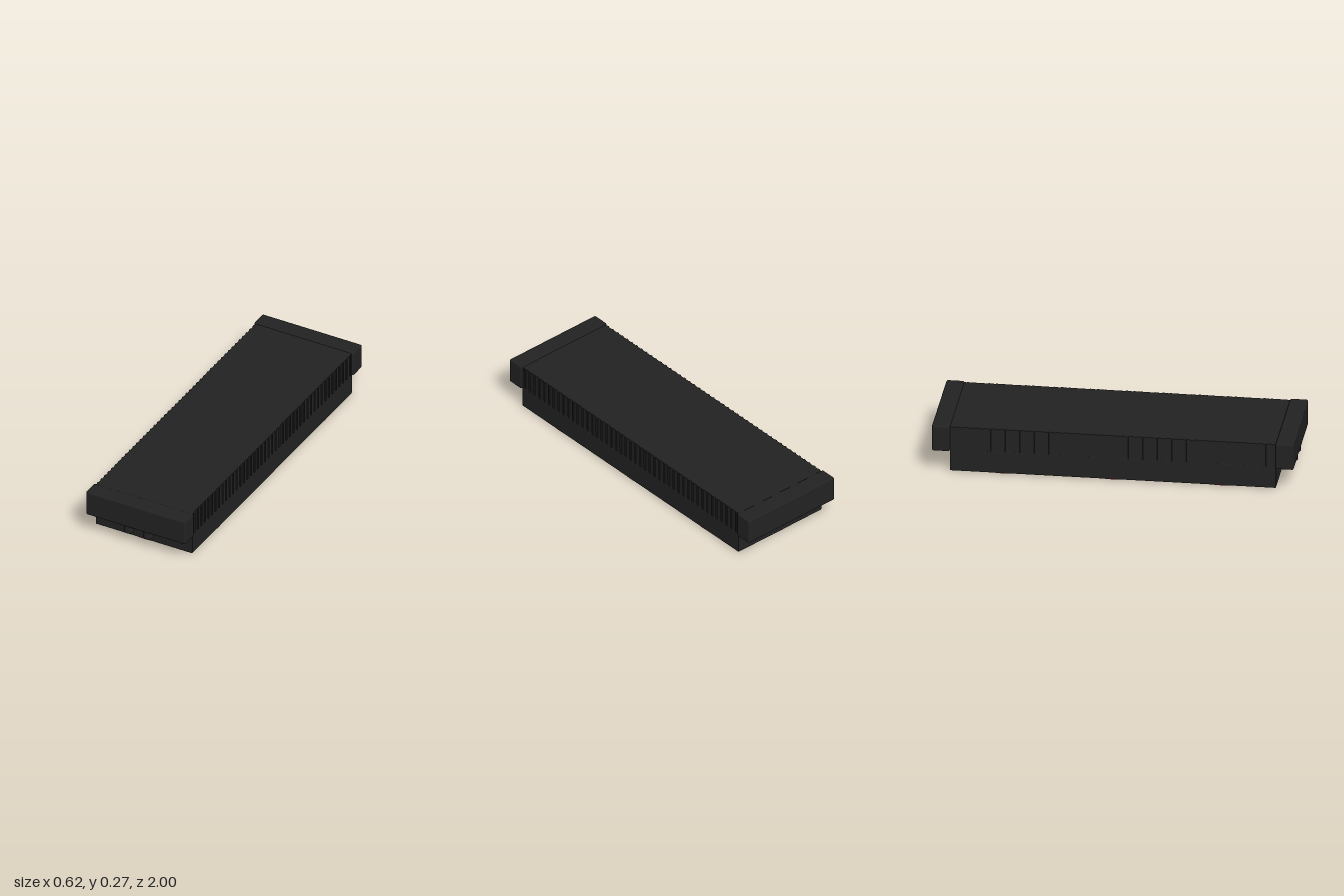
import * as THREE from 'three';
import { RoundedBoxGeometry } from 'three/addons/geometries/RoundedBoxGeometry.js';

const material = (name, color) => new THREE.MeshStandardMaterial({ name, color });

export function createModel() {
  const black = material('radiator black', 0x222222);
  const dark = material('fan dark grey', 0x1c1c1c);
  const red = material('ring red', 0xd01a24);
  const model = new THREE.Group();
  model.name = 'radiatorWithFans';

  const add = (parent, name, geometry, mat, x = 0, y = 0, z = 0) => {
    const mesh = new THREE.Mesh(geometry, mat);
    mesh.name = name;
    mesh.position.set(x, y, z);
    parent.add(mesh);
    return mesh;
  };

  // Radiator core with thin fins standing proud of its long sides
  add(model, 'core', new THREE.BoxGeometry(0.6, 0.135, 1.8), black, 0, 0.1975, 0);
  const finGeometry = new THREE.BoxGeometry(0.61, 0.134, 0.012);
  for (let i = 0; i < 45; i++) {
    add(model, 'fin', finGeometry, black, 0, 0.1975, -0.88 + i * 0.04);
  }

  // End tanks
  const tankGeometry = new RoundedBoxGeometry(0.624, 0.15, 0.1, 3, 0.01);
  for (const side of [-1, 1]) {
    add(model, side > 0 ? 'frontTank' : 'backTank', tankGeometry, black, 0, 0.195, side * 0.95);
  }

  // Hose fittings under the front tank
  for (const side of [-1, 1]) {
    add(model, 'fitting', new THREE.CylinderGeometry(0.028, 0.028, 0.06, 32), black, side * 0.06, 0.103, 0.963);
  }

  // Square fan frame with a round opening, lying flat
  const frameShape = new THREE.Shape();
  const h = 0.297;
  frameShape.moveTo(-h, -h).lineTo(h, -h).lineTo(h, h).lineTo(-h, h).closePath();
  const opening = new THREE.Path();
  opening.absarc(0, 0, 0.284, 0, Math.PI * 2, true);
  frameShape.holes.push(opening);
  const frameGeometry = new THREE.ExtrudeGeometry(frameShape, {
    depth: 0.12, bevelThickness: 0.004, bevelSize: 0.004, bevelSegments: 2, curveSegments: 48,
  }).rotateX(-Math.PI / 2);

  // Blade widening toward its swept tip, pitched about its own length
  const bladeShape = new THREE.Shape();
  bladeShape.moveTo(0.08, -0.032);
  bladeShape.quadraticCurveTo(0.17, -0.04, 0.26, -0.025);
  bladeShape.quadraticCurveTo(0.272, 0.02, 0.255, 0.065);
  bladeShape.quadraticCurveTo(0.16, 0.05, 0.08, 0.032);
  bladeShape.closePath();
  const bladeGeometry = new THREE.ExtrudeGeometry(bladeShape, {
    depth: 0.006, bevelEnabled: false, curveSegments: 6,
  }).translate(0, 0, -0.003).rotateX(-Math.PI / 2 + 0.55);

  const hubGeometry = new THREE.CylinderGeometry(0.095, 0.095, 0.08, 40);
  const ringGeometry = new THREE.TorusGeometry(0.296, 0.005, 8, 72).rotateX(Math.PI / 2);
  const strutGeometry = new THREE.BoxGeometry(0.56, 0.008, 0.02);

  for (const z of [-0.6, 0, 0.6]) {
    const fan = new THREE.Group();
    fan.name = 'fan';
    fan.position.z = z;
    model.add(fan);
    add(fan, 'frame', frameGeometry, black, 0, 0.007, 0);
    add(fan, 'ring', ringGeometry, red, 0, 0.005, 0);
    add(fan, 'hub', hubGeometry, dark, 0, 0.075, 0);
    for (let i = 0; i < 9; i++) {
      add(fan, 'blade', bladeGeometry, dark, 0, 0.07, 0).rotation.y = (i / 9) * Math.PI * 2;
    }
    // Motor struts behind the blades
    for (const turn of [1, 3]) {
      add(fan, 'strut', strutGeometry, black, 0, 0.12, 0).rotation.y = (turn * Math.PI) / 4;
    }
  }
  return model;
}
